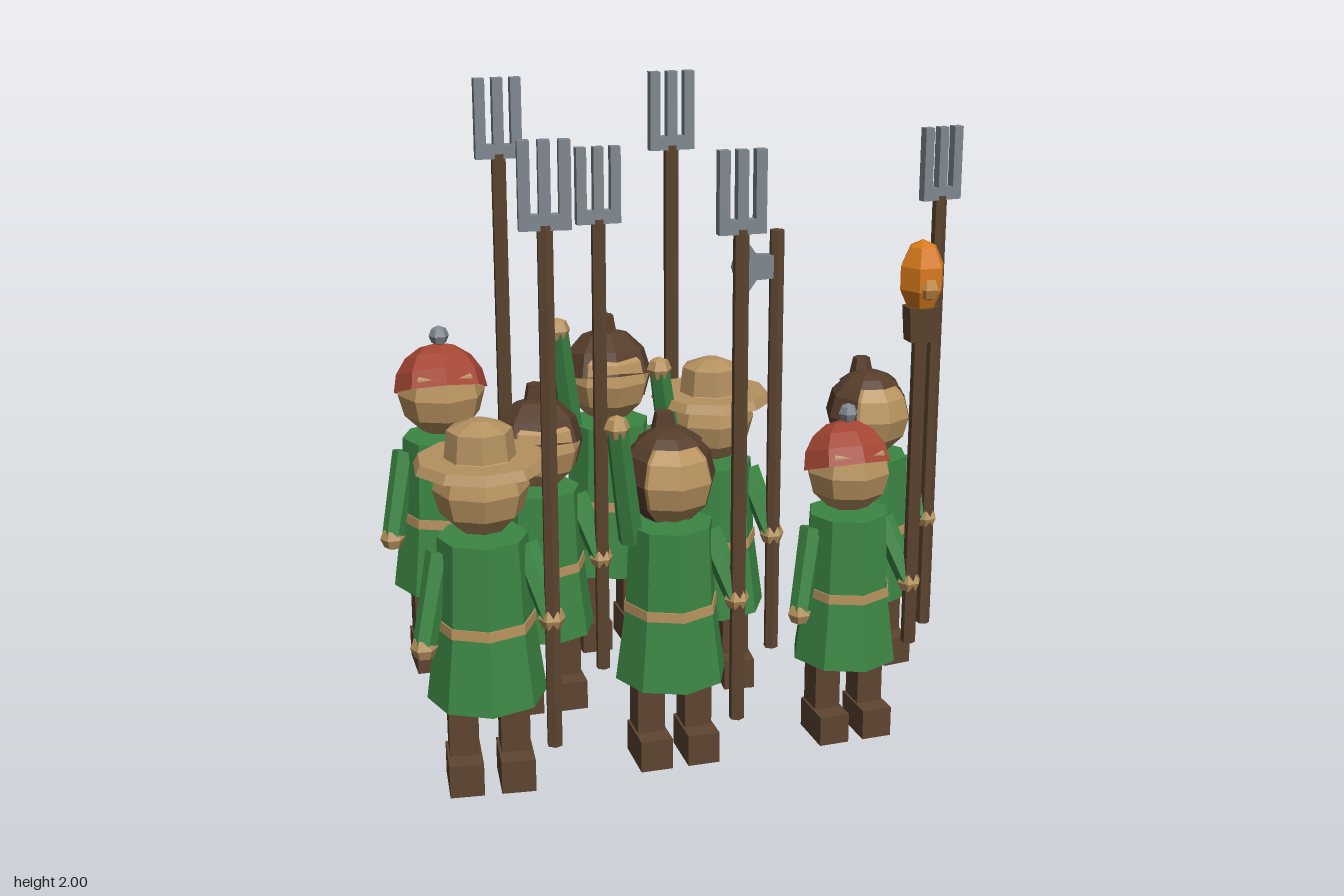
import * as THREE from 'three';

const mat = (name, color, side = THREE.FrontSide) => {
  const m = new THREE.MeshStandardMaterial({ color, side });
  m.name = name;
  return m;
};
const M = {
  green: mat('green cloth', 0x3c8644),
  skin: mat('skin', 0xb8935f),
  straw: mat('straw', 0xb49160),
  brown: mat('leather and wood', 0x5e4530),
  hair: mat('hair', 0x563d2b, THREE.DoubleSide),
  red: mat('red wool', 0xa54633, THREE.DoubleSide),
  steel: mat('steel', 0x7f878f),
  flame: mat('flame', 0xd87a1c),
  ember: mat('inner flame', 0xc08a45),
};

// faceted mesh
function add(parent, name, geometry, material, x = 0, y = 0, z = 0) {
  const g = geometry.index ? geometry.toNonIndexed() : geometry;
  g.computeVertexNormals();
  const mesh = new THREE.Mesh(g, material);
  mesh.name = name;
  mesh.position.set(x, y, z);
  parent.add(mesh);
  return mesh;
}
const cyl = (rt, rb, h, n = 6) => new THREE.CylinderGeometry(rt, rb, h, n);
const ball = (r, w = 8, h = 6) => new THREE.SphereGeometry(r, w, h);
const box = (w, h, d) => new THREE.BoxGeometry(w, h, d);

// sleeve between two points, with a hand at the end
function arm(g, side, from, to) {
  const a = new THREE.Vector3(...from), b = new THREE.Vector3(...to);
  const d = b.clone().sub(a);
  const sleeve = add(g, side + 'Sleeve', cyl(0.036, 0.042, d.length(), 6), M.green);
  sleeve.position.copy(a).addScaledVector(d, 0.5);
  sleeve.quaternion.setFromUnitVectors(new THREE.Vector3(0, 1, 0), d.normalize());
  add(g, side + 'Hand', ball(0.042, 6, 4), M.skin, ...to);
}

const headY = 0.955;
const headwear = {
  strawHat(g) {
    add(g, 'hatBrim', cyl(0.19, 0.205, 0.03, 10), M.straw, 0, 1.035, -0.01);
    add(g, 'hatCrown', cyl(0.098, 0.108, 0.09, 8), M.straw, 0, 1.09, -0.01);
    add(g, 'hatTop', cyl(0.03, 0.098, 0.028, 8), M.straw, 0, 1.149, -0.01);
  },
  redCap(g) {
    const dome = new THREE.SphereGeometry(0.157, 8, 4, 0, Math.PI * 2, 0, Math.PI / 2);
    add(g, 'cap', dome, M.red, 0, headY + 0.005, -0.015).rotation.x = -0.36;
    add(g, 'capKnob', ball(0.034, 6, 4), M.steel, 0, 1.145, -0.02);
  },
  // hair framing the face down to the chin
  longHair(g) {
    const lid = new THREE.SphereGeometry(0.156, 8, 3, Math.PI / 4, Math.PI * 2, 0, Math.PI / 4);
    const back = new THREE.SphereGeometry(0.156, 6, 6, Math.PI * 0.75, Math.PI * 1.5, 0, Math.PI);
    add(g, 'hairTop', lid, M.hair, 0, headY + 0.005, -0.018);
    add(g, 'hairBack', back, M.hair, 0, headY, -0.022);
    add(g, 'hairBun', cyl(0.03, 0.043, 0.06, 6), M.hair, 0, 1.12, -0.075);
  },
  // rounded bowl cut with a shorter back
  shortHair(g) {
    const bowl = new THREE.SphereGeometry(0.16, 8, 3, 0, Math.PI * 2, 0, Math.PI / 2);
    const back = new THREE.SphereGeometry(0.157, 4, 4, Math.PI, Math.PI, 0, Math.PI * 0.67);
    add(g, 'hairTop', bowl, M.hair, 0, headY + 0.01, -0.025).rotation.x = -0.18;
    add(g, 'hairBack', back, M.hair, 0, headY, -0.022);
    add(g, 'hairBun', cyl(0.032, 0.043, 0.06, 6), M.hair, 0, 1.137, -0.045);
  },
};

function shaft(g, y0, y1) {
  add(g, 'shaft', cyl(0.025, 0.025, y1 - y0, 6), M.brown, 0, (y0 + y1) / 2, 0);
}
const tools = {
  fork(g) {
    shaft(g, 0.145, 1.76);
    add(g, 'forkBar', box(0.15, 0.045, 0.034), M.steel, 0, 1.7675, 0);
    for (const x of [-0.058, 0, 0.058]) add(g, 'forkTine', box(0.034, 0.212, 0.034), M.steel, x, 1.894, 0);
  },
  axe(g) {
    shaft(g, 0.145, 1.615);
    const s = new THREE.Shape();
    [[0, 0.038], [-0.07, 0.042], [-0.1, 0.085], [-0.135, 0.05], [-0.15, 0],
      [-0.135, -0.05], [-0.1, -0.085], [-0.07, -0.042], [0, -0.038]]
      .forEach(([x, y], i) => (i ? s.lineTo(x, y) : s.moveTo(x, y)));
    add(g, 'axeBlade', new THREE.ExtrudeGeometry(s, { depth: 0.034, bevelEnabled: false }), M.steel, 0, 1.495, -0.017);
  },
  torch(g) {
    shaft(g, 0.34, 1.42);
    add(g, 'torchHead', cyl(0.06, 0.052, 0.115, 6), M.brown, 0, 1.47, 0);
    add(g, 'flame', ball(0.08, 6, 5), M.flame, 0, 1.625, 0).scale.y = 1.55;
    add(g, 'innerFlame', ball(0.042, 6, 4), M.ember, 0, 1.595, 0.045);
  },
};

function villager(hat, tool, raised) {
  const g = new THREE.Group();
  for (const s of [-1, 1]) {
    const side = s > 0 ? 'left' : 'right';
    add(g, side + 'Leg', box(0.09, 0.24, 0.1), M.brown, s * 0.079, 0.22, 0);
    add(g, side + 'Boot', box(0.105, 0.105, 0.175), M.brown, s * 0.079, 0.0525, 0.03);
  }
  add(g, 'skirt', cyl(0.15, 0.184, 0.25, 8), M.green, 0, 0.412, 0);
  add(g, 'torso', cyl(0.137, 0.15, 0.27, 8), M.green, 0, 0.672, 0);
  add(g, 'belt', cyl(0.154, 0.156, 0.032, 8), M.skin, 0, 0.535, 0);
  add(g, 'head', ball(0.146), M.skin, 0, headY, -0.005);
  headwear[hat](g);

  arm(g, 'left', [0.125, 0.765, 0], [0.192, 0.56, 0.095]);
  arm(g, 'right', [-0.13, 0.76, 0], raised ? [-0.195, 1.16, 0.085] : [-0.19, 0.475, 0.05]);

  const held = new THREE.Group();
  held.name = tool;
  held.position.set(0.193, 0, 0.103);
  tools[tool](held);
  g.add(held);
  return g;
}

export function createModel() {
  const crowd = new THREE.Group();
  crowd.name = 'villagerCrowd';
  // x, z, scale, turn, headwear, tool, raised arm
  [
    [-0.675, -0.455, 1.0, -0.03, 'redCap', 'fork', false],
    [-0.10, -0.455, 1.0, 0, 'shortHair', 'fork', true],
    [-0.445, -0.03, 0.917, -0.03, 'shortHair', 'fork', false],
    [0.13, -0.03, 0.96, -0.12, 'strawHat', 'axe', true],
    [0.69, -0.03, 0.92, 0.12, 'longHair', 'fork', false],
    [-0.73, 0.445, 0.97, -0.12, 'strawHat', 'fork', false],
    [-0.16, 0.45, 0.942, -0.02, 'longHair', 'fork', true],
    [0.413, 0.45, 0.91, 0.02, 'redCap', 'torch', false],
  ].forEach(([x, z, s, turn, hat, tool, raised], i) => {
    const v = villager(hat, tool, raised);
    v.name = 'villager' + (i + 1);
    v.position.set(x, 0, z);
    v.rotation.y = turn;
    v.scale.setScalar(s);
    crowd.add(v);
  });
  return crowd;
}
